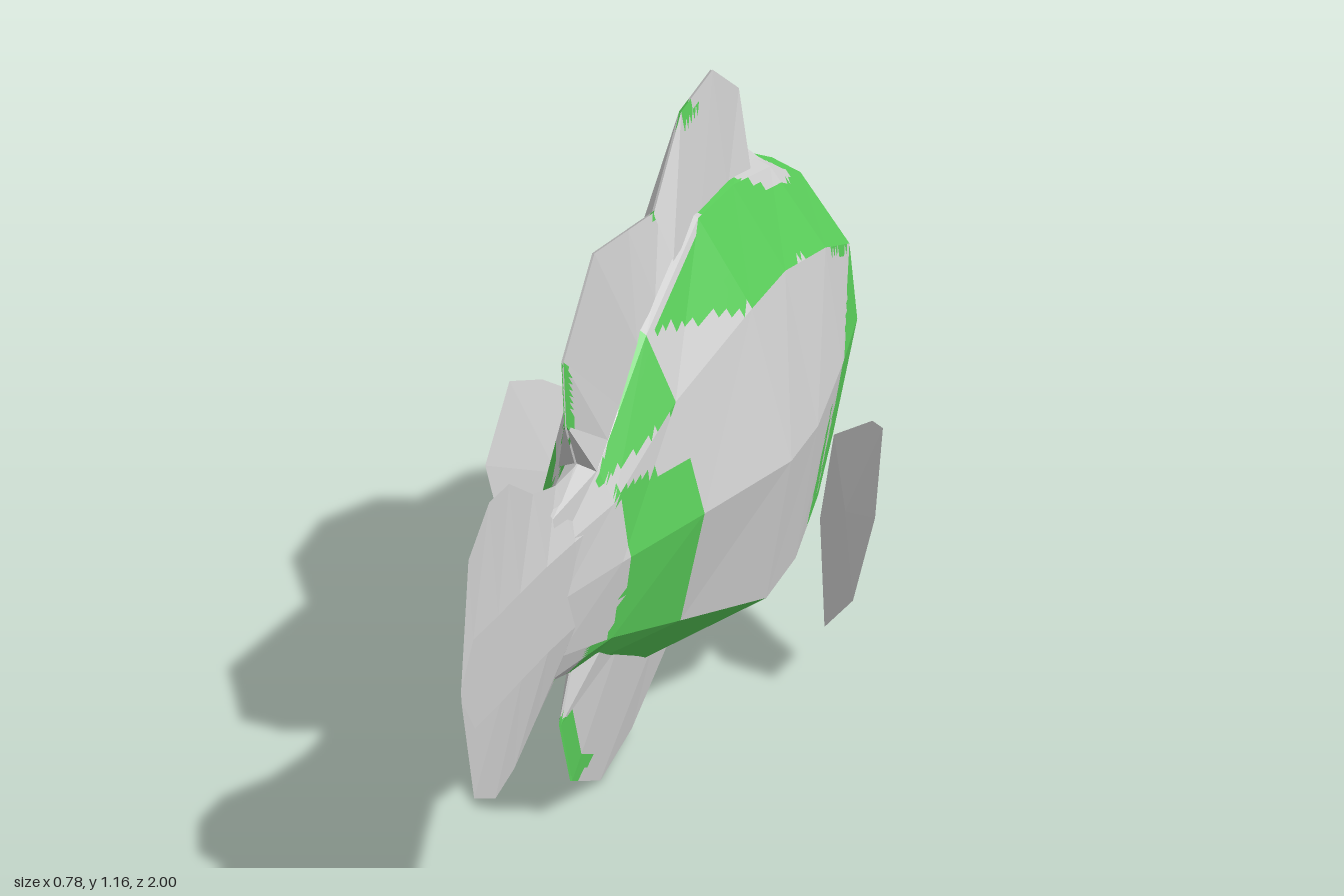
import * as THREE from 'three';

const grey = new THREE.MeshStandardMaterial({ color: 0xcccccc, flatShading: true, side: THREE.DoubleSide });
grey.name = 'pale grey';
const green = new THREE.MeshStandardMaterial({ color: 0x58ca58, flatShading: true, side: THREE.DoubleSide });
green.name = 'leaf green';

// Even-odd test of a point against a polygon in the side plane (z, y)
function inside(poly, z, y) {
  let hit = false;
  for (let i = 0, j = poly.length - 1; i < poly.length; j = i++) {
    const [a, b] = poly[i], [c, d] = poly[j];
    if ((b > y) !== (d > y) && z < ((c - a) * (y - b)) / (d - b) + a) hit = !hit;
  }
  return hit;
}

// Collects triangles on the +x side, mirrors them, and makes one mesh per colour
class Skin {
  constructor(name) {
    this.name = name;
    this.data = new Map([[grey, []], [green, []]]);
  }
  tri(mat, a, b, c) {
    const m = (p) => [-p[0], p[1], p[2]];
    this.data.get(mat).push(...a, ...b, ...c, ...m(a), ...m(c), ...m(b));
  }
  // Columns run toward +z, points in a column run upward; cells are split finely for the markings
  patch(columns, isGreen, n = 10) {
    for (let i = 0; i < columns.length - 1; i++) {
      for (let j = 0; j < columns[i].length - 1; j++) {
        const p = columns[i][j], up = columns[i][j + 1], q = columns[i + 1][j], r = columns[i + 1][j + 1];
        const at = (u, v) => p.map((_, k) => (u + v <= 1
          ? p[k] + u * (q[k] - p[k]) + v * (up[k] - p[k])
          : r[k] + (1 - u) * (up[k] - r[k]) + (1 - v) * (q[k] - r[k])));
        const add = (a, b, c) => {
          const z = (a[2] + b[2] + c[2]) / 3, y = (a[1] + b[1] + c[1]) / 3;
          this.tri(isGreen(z, y, j) ? green : grey, a, b, c);
        };
        for (let s = 0; s < n; s++) for (let t = 0; t < n; t++) {
          const a = at(s / n, t / n), b = at(s / n, (t + 1) / n);
          const c = at((s + 1) / n, t / n), d = at((s + 1) / n, (t + 1) / n);
          add(a, b, c);
          add(c, b, d);
        }
      }
    }
  }
  build() {
    const group = new THREE.Group();
    group.name = this.name;
    for (const [mat, pos] of this.data) {
      if (!pos.length) continue;
      const g = new THREE.BufferGeometry();
      g.setAttribute('position', new THREE.Float32BufferAttribute(pos, 3));
      g.computeVertexNormals();
      const mesh = new THREE.Mesh(g, mat);
      mesh.name = `${this.name} ${mat.name}`;
      group.add(mesh);
    }
    return group;
  }
}

// Green markings on the flank, as side-plane outlines
const headMark = [[-1.1, 0.2], [-0.42, 0.2], [-0.425, 0.27], [-0.465, 0.48], [-0.5, 0.25], [-0.535, 0.51], [-0.73, 0.7], [-1.1, 0.7]];
const backMark = [[0.17, 0.83], [0, 0.8], [-0.13, 0.785], [-0.4, 0.785], [-0.55, 0.75], [-0.66, 0.7], [-1.1, 0.68],
  [-1.1, 1], [-0.55, 0.95], [-0.64, 0.86], [-0.45, 0.9], [-0.32, 0.96], [-0.13, 0.955], [0, 0.9]];
const tailBand = [[0.2, 0.2], [0.2, 0.6], [0.41, 0.62], [0.39, 0.5], [0.42, 0.37], [0.5, 0.3]];
const tailWedge = [[0.45, 0.63], [0.2, 0.7], [0.2, 0.84]];
const marks = [headMark, backMark, tailBand, tailWedge];

function createBody() {
  // z, belly y, lower crease x y, widest x y, shoulder x y, ridge x y, top y
  const sections = [
    [-0.93, 0.34, 0.08, 0.41, 0.09, 0.48, 0.065, 0.58, 0.03, 0.63, 0.64],
    [-0.82, 0.27, 0.11, 0.34, 0.135, 0.52, 0.11, 0.67, 0.05, 0.75, 0.77],
    [-0.73, 0.22, 0.14, 0.285, 0.185, 0.54, 0.165, 0.7, 0.06, 0.84, 0.865],
    [-0.53, 0.14, 0.165, 0.23, 0.21, 0.52, 0.17, 0.76, 0.055, 0.915, 0.94],
    [-0.3, 0.1, 0.185, 0.195, 0.225, 0.48, 0.155, 0.79, 0.05, 0.95, 0.965],
    [-0.1, 0.1, 0.185, 0.2, 0.23, 0.49, 0.15, 0.785, 0.045, 0.95, 0.97],
    [0.2, 0.165, 0.11, 0.28, 0.155, 0.5, 0.1, 0.71, 0.045, 0.83, 0.86],
    [0.42, 0.275, 0.055, 0.34, 0.075, 0.49, 0.06, 0.6, 0.03, 0.66, 0.68],
    [0.6, 0.33, 0.018, 0.38, 0.026, 0.49, 0.02, 0.58, 0.012, 0.64, 0.66],
  ];
  const columns = sections.map(([z, b, ...m]) => [
    [0, b, z], [m[0], m[1], z], [m[2], m[3], z], [m[4], m[5], z], [m[6], m[7], z], [0, m[8], z]]);
  const body = new Skin('body');
  body.patch(columns, (z, y, row) => (row === 0 ? z < 0.5 : marks.some((m) => inside(m, z, y))));

  // Snout, lower jaw and the open mouth between them
  const all = () => true, ring = columns[0], hinge = [0, 0.42, -0.925];
  const snout = [[0, 0.46, -1], [0.025, 0.5, -0.995], [0.02, 0.53, -1], [0.006, 0.55, -1], [0, 0.55, -1]];
  const jaw = [[0, 0.375, -0.965], [0.02, 0.385, -0.965]];
  body.patch([snout, ring.slice(1)], all, 1);
  body.patch([jaw, ring.slice(0, 2)], all, 1);
  body.tri(green, hinge, ring[1], snout[0]);
  body.tri(green, hinge, jaw[1], ring[1]);
  body.tri(green, hinge, jaw[0], jaw[1]);
  return body.build();
}

// Thin median fin between two (z, y) polylines with given half thicknesses
function createFin(name, low, high, lowW, highW, spots) {
  const fin = new Skin(name);
  fin.patch(low.map(([z, y], i) => [[lowW, y, z], [highW, high[i][1], high[i][0]]]),
    (z, y) => spots.some((s) => inside(s, z, y)));
  return fin.build();
}

function createTail() {
  // z, bottom y, top y, half thickness
  const ribs = [[0.44, 0.33, 0.675, 0.05], [0.55, 0.325, 0.68, 0.034], [0.66, 0.29, 0.71, 0.023], [0.77, 0.25, 0.775, 0.016],
    [0.86, 0.24, 0.78, 0.012], [0.955, 0.29, 0.72, 0.005], [1, 0.49, 0.51, 0]];
  const tail = new Skin('tailFin');
  tail.patch(ribs.map(([z, b, t, w]) => [[0, b, z], [w, 0.42, z], [w, 0.58, z], [0, t, z]].map(
    (p) => [p[0], Math.min(t, Math.max(b, p[1])), z])), (z, y) => z < 0.57 && y < 0.37, 4);
  return tail.build();
}

// Side fins: green outer face, grey inner face
function createPectorals() {
  const rim = [[0.222, 0.41, -0.43], [0.335, 0.51, -0.29], [0.375, 0.53, -0.215], [0.39, 0.39, -0.115],
    [0.35, 0.21, -0.12], [0.26, 0.08, -0.25], [0.2, 0.23, -0.42]];
  const outer = [0.325, 0.33, -0.28], inner = [0.295, 0.33, -0.255];
  const fins = new Skin('pectoralFins');
  rim.forEach((p, i) => {
    const q = rim[(i + 1) % rim.length];
    fins.tri(green, outer, p, q);
    fins.tri(grey, inner, q, p);
  });
  return fins.build();
}

export function createModel() {
  const model = new THREE.Group();
  model.name = 'fish';
  model.add(createBody(), createTail(), createPectorals());
  model.add(createFin('frontDorsalFin',
    [[-0.56, 0.91], [-0.45, 0.93], [-0.3, 0.94], [-0.13, 0.94], [0.03, 0.91]],
    [[-0.54, 0.945], [-0.49, 1.08], [-0.32, 1.165], [-0.13, 1.14], [0.03, 0.995]],
    0.04, 0.002, [[[-0.13, 1.15], [-0.13, 1.11], [-0.23, 1.12], [-0.2, 1.135]]]));
  model.add(createFin('rearDorsalFin',
    [[0, 0.92], [0.12, 0.87], [0.22, 0.82], [0.32, 0.74], [0.38, 0.7], [0.44, 0.665]],
    [[0, 0.995], [0.17, 1.012], [0.35, 1.03], [0.51, 0.89], [0.5, 0.77], [0.45, 0.68]],
    0.035, 0.002, [[[0.52, 0.9], [0.49, 0.87], [0.48, 0.76], [0.52, 0.76]], [[-0.01, 1.01], [-0.01, 0.98], [0.05, 0.985]]]));
  model.add(createFin('analFin',
    [[0, 0.112], [0.16, 0.02], [0.34, 0.003], [0.49, 0.08], [0.545, 0.22], [0.48, 0.31]],
    [[0, 0.15], [0.12, 0.18], [0.22, 0.22], [0.32, 0.27], [0.4, 0.31], [0.47, 0.345]],
    0.002, 0.03, [[[0.56, 0.23], [0.5, 0.22], [0.47, 0.14], [0.39, 0.08], [0.5, 0.07]]]));
  return model;
}
